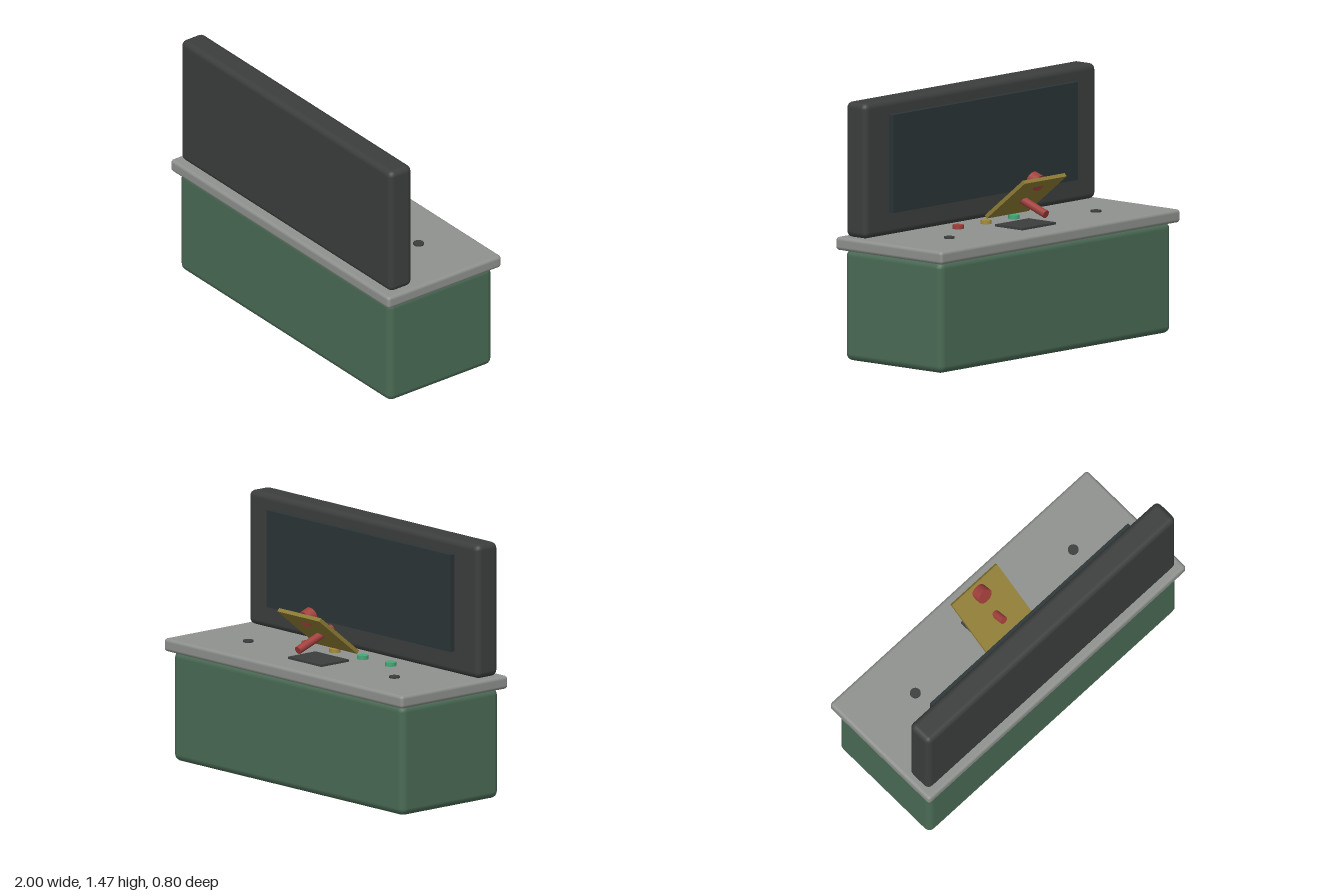
import * as THREE from 'three';
import { RoundedBoxGeometry } from 'three/addons/geometries/RoundedBoxGeometry.js';

export function createModel() {
  const model = new THREE.Group();
  const material = (color) => new THREE.MeshStandardMaterial({ color });
  const green = material(0x4a6b55);
  const grey = material(0x8e918d);
  const dark = material(0x3c3e3e);
  const glass = material(0x2b3436);
  const brass = material(0x8f7d35);
  const red = material(0xa03f3c);
  const lampGreen = material(0x45a878);
  const lampAmber = material(0xa88a3c);

  function add(name, geometry, mat, x, y, z, tilt = 0) {
    const mesh = new THREE.Mesh(geometry, mat);
    mesh.name = name;
    mesh.position.set(x, y, z);
    mesh.rotation.x = tilt;
    model.add(mesh);
    return mesh;
  }

  // Console body, worktop and upright display; the operator stands at -z
  add('cabinet', new RoundedBoxGeometry(1.93, 0.63, 0.73, 2, 0.04), green, 0, 0.315, 0);
  add('worktop', new RoundedBoxGeometry(2, 0.075, 0.8, 2, 0.02), grey, 0, 0.6625, 0);
  add('displayHousing', new RoundedBoxGeometry(1.93, 0.767, 0.157, 2, 0.035), dark, 0, 1.083, 0.279);
  add('displayScreen', new THREE.BoxGeometry(1.54, 0.555, 0.04), glass, 0, 1.108, 0.188);

  // Row of push buttons
  const buttonGeometry = new THREE.CylinderGeometry(0.032, 0.032, 0.03, 24);
  [lampGreen, lampGreen, lampAmber, red].forEach((mat, i) =>
    add('button' + (i + 1), buttonGeometry, mat, -0.37 + i * 0.2335, 0.707, 0.078));

  // Key switches at both ends of the worktop
  const switchGeometry = new THREE.CylinderGeometry(0.03, 0.03, 0.02, 24);
  for (const [name, side] of [['leftKeySwitch', 1], ['rightKeySwitch', -1]])
    add(name, switchGeometry, dark, side * 0.613, 0.7, -0.11);

  // Central plate with its raised hinged cover
  add('switchPlate', new THREE.BoxGeometry(0.28, 0.02, 0.205), dark, 0, 0.703, -0.132);
  add('safetyCover', new THREE.BoxGeometry(0.35, 0.022, 0.365), brass, 0, 0.868, -0.133, 0.672);

  // Tilted lever and the short knob above it, both along the same axis
  const leverTilt = Math.PI / 2 - 0.347;
  add('lever', new THREE.CylinderGeometry(0.023, 0.023, 0.268, 20), red, 0, 0.825, -0.159, leverTilt);
  add('leverKnob', new THREE.CylinderGeometry(0.047, 0.047, 0.058, 24), red, 0, 0.959, -0.209, leverTilt);

  return model;
}
